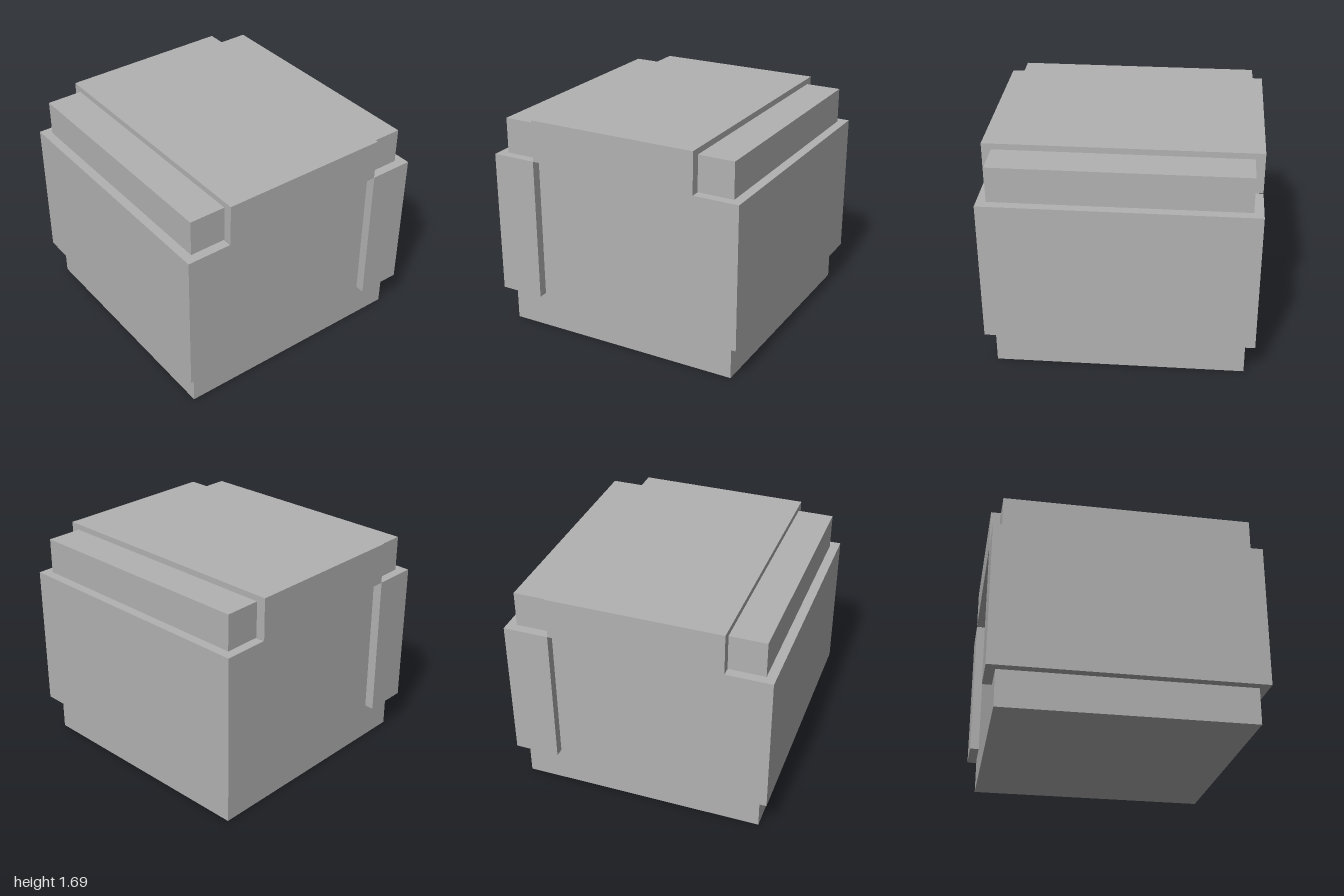
import * as THREE from 'three';

export function createModel() {
  const model = new THREE.Group();
  const grey = new THREE.MeshStandardMaterial({ color: 0xb2b2b2 });
  grey.name = 'grey';

  // Box given by its x, y and z extents
  function addBox(name, [x0, x1], [y0, y1], [z0, z1]) {
    const mesh = new THREE.Mesh(new THREE.BoxGeometry(x1 - x0, y1 - y0, z1 - z0), grey);
    mesh.position.set((x0 + x1) / 2, (y0 + y1) / 2, (z0 + z1) / 2);
    mesh.name = name;
    model.add(mesh);
  }

  // Central block, from the floor to the shoulders beside the lid
  addBox('core', [-0.93, 0.93], [0, 1.645], [-0.93, 0.93]);

  // Raised lid band running front to back
  addBox('lid', [-0.655, 0.655], [1.375, 1.69], [-1, 1]);

  // Side panels wrapping the corners
  addBox('leftPanel', [0.658, 1], [0.275, 1.375], [-1, 1]);
  addBox('rightPanel', [-1, -0.658], [0.275, 1.375], [-1, 1]);

  return model;
}
